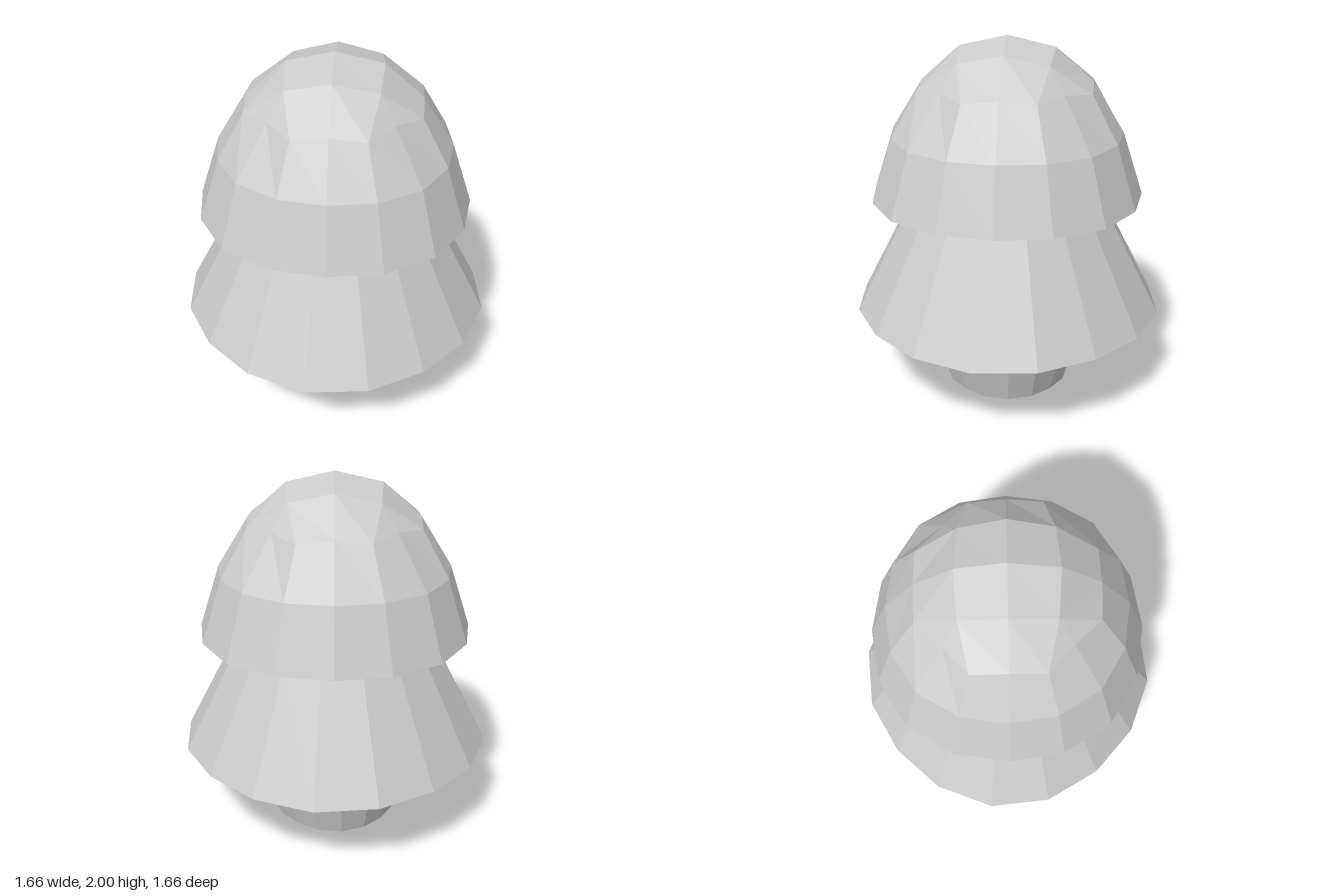
import * as THREE from 'three';

const SIDES = 16;
const material = new THREE.MeshStandardMaterial({ color: 0xcccccc, flatShading: true, side: THREE.DoubleSide });

// Ring of points, slightly squared: radius r plus a four-lobed swell, turned by phase degrees
function ring(y, r, swell, phase, lobe = phase, count = SIDES) {
  return Array.from({ length: count }, (_, i) => {
    const deg = phase + (360 / count) * i;
    const a = THREE.MathUtils.degToRad(deg);
    const rad = r + swell * Math.cos(THREE.MathUtils.degToRad(4 * (deg - lobe)));
    return new THREE.Vector3(rad * Math.cos(a), y, rad * Math.sin(a));
  });
}

// Quads as corner lists, wound to face outward
function band(lower, upper) {
  const n = lower.length;
  return lower.map((p, i) => [p, upper[i], upper[(i + 1) % n], lower[(i + 1) % n]]);
}

function facetedMesh(name, quads) {
  const points = quads.flatMap(([a, b, c, d]) => [a, b, c, a, c, d]);
  const geometry = new THREE.BufferGeometry().setFromPoints(points);
  geometry.computeVertexNormals();
  const mesh = new THREE.Mesh(geometry, material);
  mesh.name = name;
  return mesh;
}

// Rounded crown: two open bands closed by a four-by-four grid of quads
function crownQuads() {
  const phase = 3;
  const rim = ring(1.14, 0.757, 0.013, phase);
  const middle = ring(1.485, 0.643, 0.012, phase);
  const outer = ring(1.737, 0.495, 0, phase);
  outer.forEach((p, i) => {
    if (i % 2) return;
    const k = (i % 4 === 0 ? 0.45 : 0.462) / 0.495;
    p.set(p.x * k, 1.758, p.z * k);
  });
  const inner = ring(1.917, 0.297, 0.041, phase, phase, 8);
  inner.forEach((p, i) => { p.y = i % 2 ? 1.942 : 1.888; });
  const top = new THREE.Vector3(0, 2, 0);

  const quads = [...band(rim, middle), ...band(middle, outer)];
  for (let j = 0; j < 4; j++) {
    const o = (i) => outer[(4 * j + i + 16) % 16];
    const n = (i) => inner[(2 * j + i + 8) % 8];
    quads.push(
      [o(0), o(-1), n(0), o(1)],
      [o(1), n(0), n(1), o(2)],
      [o(2), n(1), n(2), o(3)],
      [n(0), n(-1), top, n(1)],
    );
  }
  // split each corner quad between the outer and inner grid corners
  return quads;
}

export function createModel() {
  const group = new THREE.Group();
  group.name = 'tree';

  // Open tapered trunk
  group.add(facetedMesh('trunk', band(
    ring(0, 0.35, -0.007, -3),
    ring(0.465, 0.485, -0.007, -3),
  )));

  // Open flared lower foliage
  group.add(facetedMesh('lowerFoliage', band(
    ring(0.465, 0.855, -0.013, 10, 5),
    ring(1.1, 0.53, -0.008, 10, 5),
  )));

  // Domed upper foliage, open underneath
  group.add(facetedMesh('upperFoliage', crownQuads()));
  return group;
}
